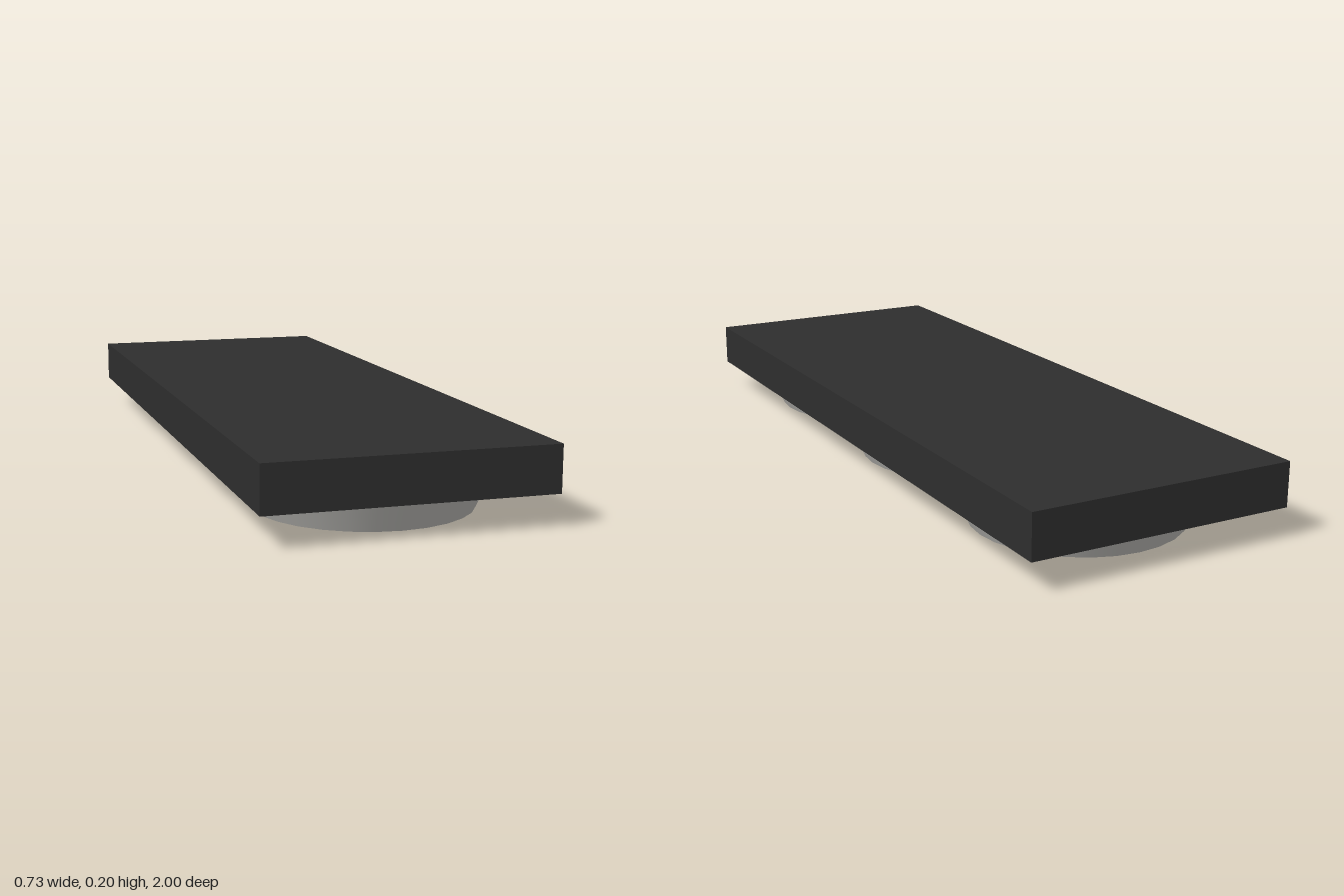
import * as THREE from 'three';
import { mergeGeometries } from 'three/addons/utils/BufferGeometryUtils.js';

const SEGMENTS = 28;

// One smooth band of revolution between two profile points [radius, y].
function band([r0, y0], [r1, y1]) {
  return new THREE.LatheGeometry([new THREE.Vector2(r0, y0), new THREE.Vector2(r1, y1)], SEGMENTS);
}

// Recessed cup, its profile running from the middle of the floor out to the top
// of the flared side; separate bands keep the edges sharp.
function cupGeometry() {
  const profile = [[0, 0.04], [0.236, 0.04], [0.236, 0], [0.283, 0], [0.319, 0.081]];
  return mergeGeometries(profile.slice(1).map((point, i) => band(profile[i], point)));
}

export function createModel() {
  const model = new THREE.Group();
  model.name = 'tripleCeilingLight';

  const black = new THREE.MeshStandardMaterial({ color: 0x2e2e2e });
  black.name = 'black';
  const grey = new THREE.MeshStandardMaterial({ color: 0xb4b3af });
  grey.name = 'grey';

  // Long flat housing
  const housing = new THREE.Mesh(new THREE.BoxGeometry(0.728, 0.119, 2), black);
  housing.name = 'housing';
  housing.position.y = 0.1405;
  model.add(housing);

  // Three lamps in a row underneath
  const cup = cupGeometry();
  ['backLamp', 'middleLamp', 'frontLamp'].forEach((name, i) => {
    const lamp = new THREE.Mesh(cup, grey);
    lamp.name = name;
    lamp.position.z = 0.008 + (i - 1) * 0.63;
    model.add(lamp);
  });

  return model;
}
